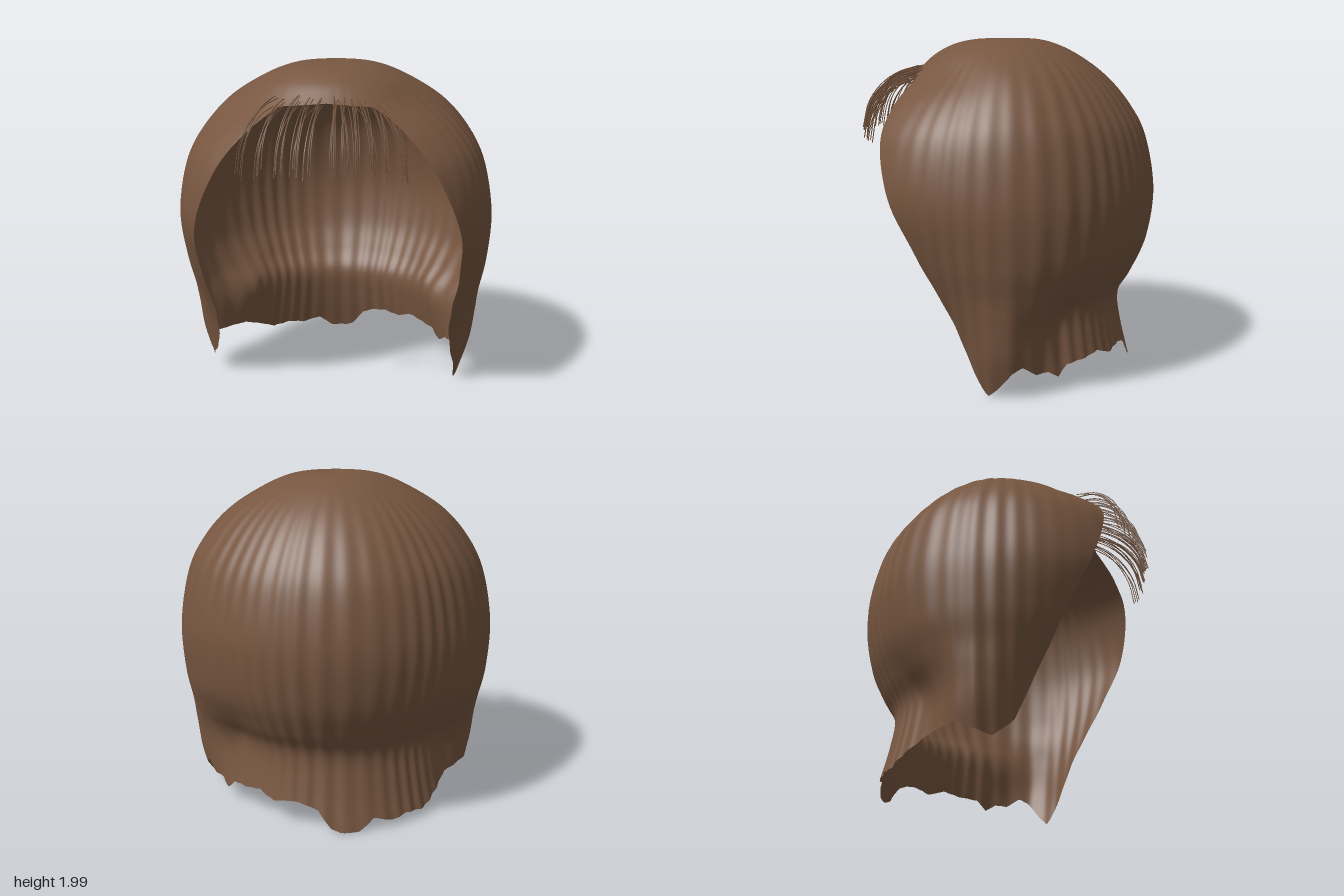
import * as THREE from 'three';

const hair = new THREE.MeshStandardMaterial({ color: 0x775640, side: THREE.DoubleSide });
hair.name = 'brown hair';

// Profile from crown to hem: height, then radius at the front, sides and back
const PROFILE = [
  [1.978, 0, 0, 0], [1.996, 0.14, 0.14, 0.13], [1.97, 0.31, 0.29, 0.27], [1.9, 0.45, 0.455, 0.42],
  [1.78, 0.58, 0.645, 0.585], [1.62, 0.78, 0.79, 0.725], [1.42, 0.92, 0.893, 0.83],
  [1.1, 0.97, 0.952, 0.887], [0.8, 0.88, 0.94, 0.85], [0.6, 0.78, 0.905, 0.765],
  [0.45, 0.68, 0.892, 0.685], [0.25, 0.57, 0.865, 0.705], [0, 0.6, 0.78, 0.765],
];
const curveOf = (f) => new THREE.CatmullRomCurve3(PROFILE.map(f), false, 'catmullrom', 0.5);
const radii = curveOf((p) => new THREE.Vector3(p[1], p[2], p[3]));
const heights = curveOf((p) => new THREE.Vector3(p[0], 0, 0));

// Hem height by angle in degrees, from the front round by the left side
const FRONT_EDGE = [[0, 1.8], [25, 1.78], [30, 1.75], [34, 1.68], [38, 1.57], [42, 1.42], [47, 1.23], [53, 1.0],
  [58, 0.8], [63, 0.6], [70, 0.38]];
const HEM = [
  ...FRONT_EDGE, [76, 0.2], [82, 0.04], [84, 0.01], [88, 0.06], [94, 0.17], [98, 0.2], [104, 0.14],
  [110, 0.14], [115, 0.1], [120, 0.16], [130, 0.17], [139, 0.19], [148, 0.15], [157, 0.17], [164, 0.16],
  [170, 0.13], [176, 0.03], [180, 0.01], [188, 0.01], [195, 0.08], [204, 0.05], [212, 0.07], [222, 0.06],
  [233, 0.12], [245, 0.18], [262, 0.19], [270, 0.14], [276, 0.11], [284, 0.2],
  ...FRONT_EDGE.map(([a, y]) => [360 - a, y]).reverse(),
];

function hemHeight(deg) {
  const i = Math.max(1, HEM.findIndex((h) => h[0] >= deg));
  const [a0, y0] = HEM[i - 1];
  const [a1, y1] = HEM[i];
  return THREE.MathUtils.lerp(y0, y1, (deg - a0) / (a1 - a0));
}

// Curve parameter at which the profile falls to a given height
function paramAt(y) {
  let lo = 0.1, hi = 1;
  for (let k = 0; k < 24; k++) {
    const mid = (lo + hi) / 2;
    if (heights.getPoint(mid).x > y) lo = mid; else hi = mid;
  }
  return hi;
}

function capGeometry() {
  const cols = 432, rows = 64, pos = [], index = [];
  const { smoothstep } = THREE.MathUtils;
  for (let i = 0; i < cols; i++) {
    const deg = (i * 360) / cols;
    const az = THREE.MathUtils.degToRad(deg);
    const fromFront = deg > 180 ? 360 - deg : deg;
    const front = 1 - smoothstep(fromFront, 45, 95);
    const end = paramAt(hemHeight(deg));
    // Soft combed ridges, fading out toward the crown and the face
    const ridge = Math.sin(az * 46 + 2 * Math.sin(az * 5)) * (0.004 + 0.0015 * Math.sin(az * 7)) * (1 - 0.8 * front);
    for (let j = 0; j <= rows; j++) {
      const u = (end * j) / rows;
      const y = heights.getPoint(u).x;
      // The nape tucks in more sharply behind the side locks
      const back = smoothstep(fromFront, 88, 120 + 22 * smoothstep(y, 0.3, 0.8));
      const R = radii.getPoint(u);
      const r = R.y + (R.x - R.y) * front + (R.z - R.y) * back + ridge * smoothstep(u, 0.15, 0.5);
      pos.push(Math.sin(az) * r, y, Math.cos(az) * r);
    }
  }
  for (let i = 0; i < cols; i++) {
    for (let j = 0; j < rows; j++) {
      const a = i * (rows + 1) + j;
      const d = ((i + 1) % cols) * (rows + 1) + j;
      index.push(a, a + 1, d + 1);
      if (j > 0) index.push(a, d + 1, d);
    }
  }
  const g = new THREE.BufferGeometry();
  g.setAttribute('position', new THREE.Float32BufferAttribute(pos, 3));
  g.setIndex(index);
  g.computeVertexNormals();
  return g;
}

// Seeded random number in -1..1
let seed = 7;
function rand() {
  seed = (seed * 16807) % 2147483647;
  return (seed / 2147483647) * 2 - 1;
}

// One thin strand springing from the hairline and arching down over the forehead
function strandGeometry(tipX) {
  const x1 = tipX + rand() * 0.025;
  const x0 = tipX * 0.66 + rand() * 0.025;
  const z0 = 0.525 - 0.25 * x0 * x0 + rand() * 0.025;
  const z1 = 0.875 - 0.5 * x1 * x1 + rand() * 0.015;
  const y0 = 1.805 + rand() * 0.035;
  const y1 = 1.47 - 0.15 * x1 * x1 + rand() * 0.035;
  const at = (f, drop) => new THREE.Vector3(x0 + (x1 - x0) * f, y0 + (y1 - y0) * drop, z0 + (z1 - z0) * f);
  const path = new THREE.CatmullRomCurve3([at(0, 0), at(0.35, 0.1), at(0.66, 0.3), at(0.9, 0.62), at(1, 1)]);
  return new THREE.TubeGeometry(path, 14, 0.003, 4);
}

export function createModel() {
  const model = new THREE.Group();
  model.name = 'hair';

  const cap = new THREE.Mesh(capGeometry(), hair);
  cap.name = 'hairCap';
  model.add(cap);

  // Fringe of fine strands gathered in locks
  const fringe = new THREE.Group();
  fringe.name = 'fringe';
  for (const tipX of [-0.45, -0.34, -0.23, -0.14, -0.07, 0.06, 0.13, 0.2, 0.28, 0.35, 0.43]) {
    for (let k = 0; k < 5; k++) {
      const strand = new THREE.Mesh(strandGeometry(tipX), hair);
      strand.name = 'fringeStrand';
      fringe.add(strand);
    }
  }
  model.add(fringe);
  return model;
}
